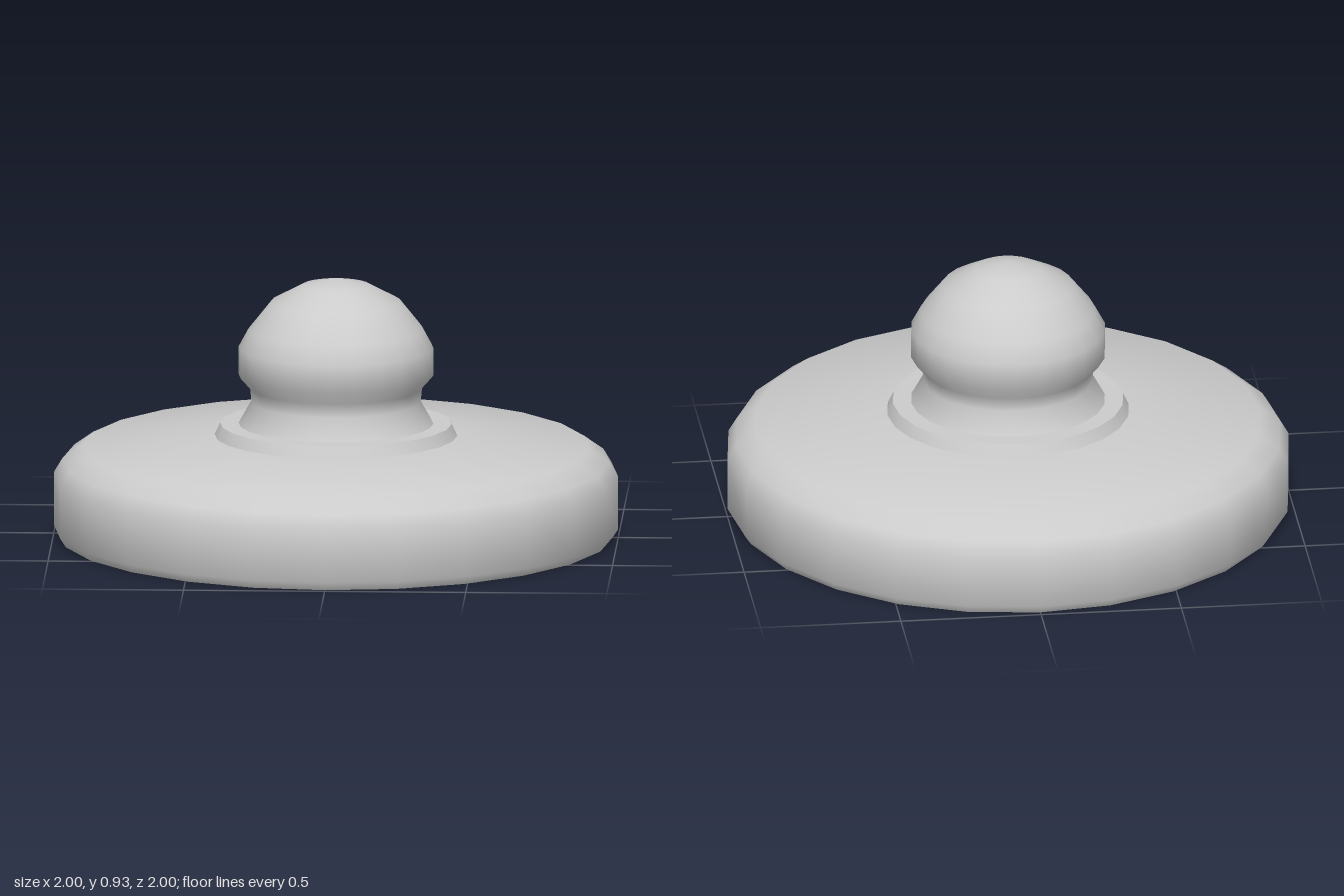
import * as THREE from 'three';
import { toCreasedNormals } from 'three/addons/utils/BufferGeometryUtils.js';

const SIDES = 24;
const material = new THREE.MeshStandardMaterial({ color: 0xcccccc });

// Turned part from [radius, height] pairs
function turned(name, profile, crease) {
  const points = profile.map(([r, y]) => new THREE.Vector2(r, y));
  const geometry = toCreasedNormals(new THREE.LatheGeometry(points, SIDES), crease);
  const mesh = new THREE.Mesh(geometry, material);
  mesh.name = name;
  return mesh;
}

export function createModel() {
  const group = new THREE.Group();
  group.name = 'knobbedLid';

  // Hollow lid: recess, underside, inner wall, rim, outer wall, sloping top
  group.add(turned('lid', [
    [0, 0.4], [0.326, 0.4], [0.326, 0.3], [0.89, 0.3],
    [0.94, 0.25], [0.94, 0.025], [0.97, 0], [0.98, 0],
    [1, 0.03], [1, 0.22], [0.97, 0.27], [0.9, 0.32], [0.43, 0.363],
  ], 0.7));

  // Raised collar around the knob
  group.add(turned('collar', [[0.43, 0.363], [0.41, 0.405], [0.34, 0.405]], 0.6));

  // Waisted neck swelling into a domed knob
  group.add(turned('knob', [
    [0.345, 0.405], [0.3, 0.485], [0.305, 0.535], [0.345, 0.58], [0.345, 0.68],
    [0.31, 0.745], [0.23, 0.845], [0.118, 0.905], [0, 0.93],
  ], 0.85));

  return group;
}
